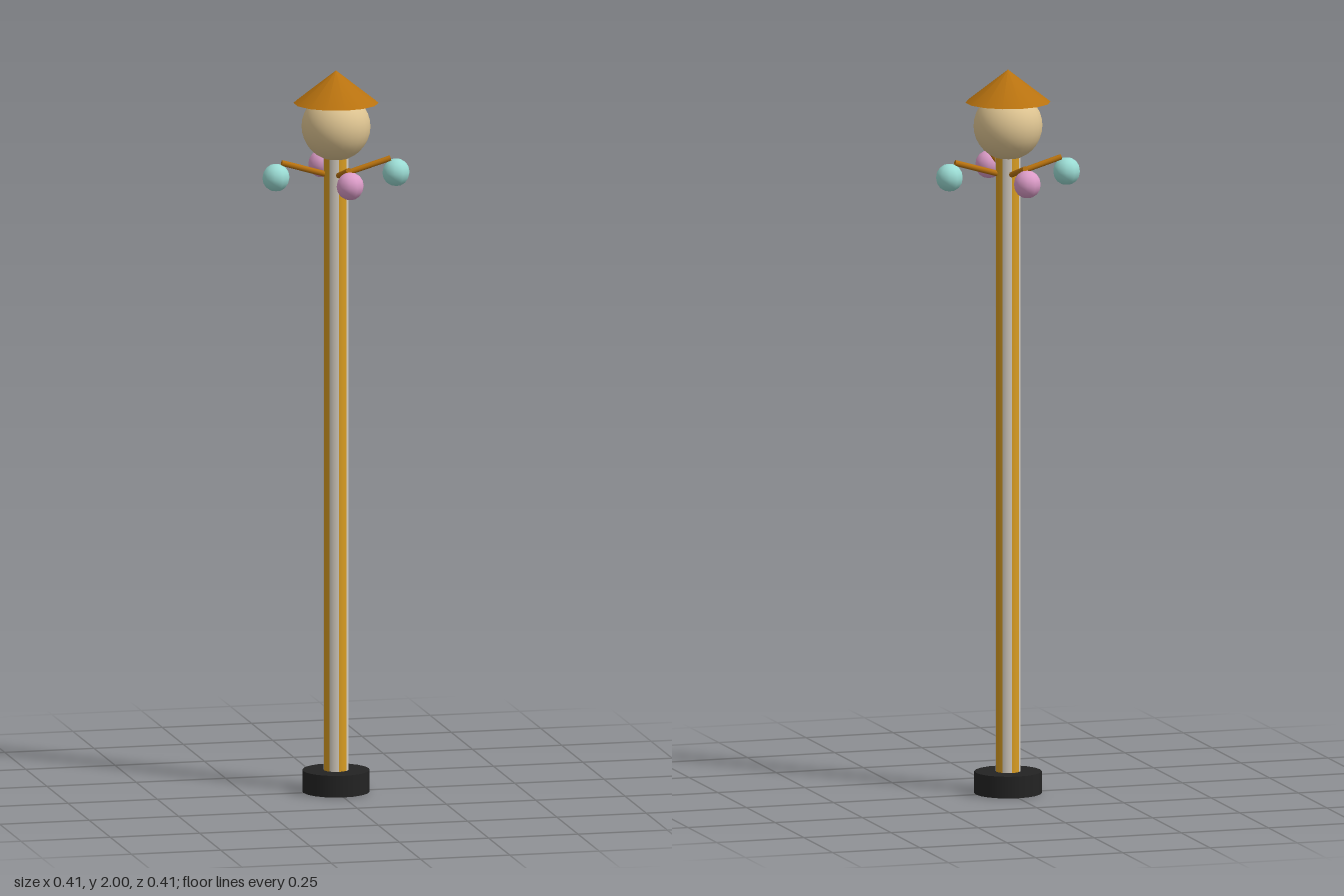
import * as THREE from 'three';

const mat = (name, color) => {
  const m = new THREE.MeshStandardMaterial({ color });
  m.name = name;
  return m;
};

export function createModel() {
  const wood = mat('brown wood', 0xb8720f);
  const black = mat('black', 0x232323);
  const gold = mat('gold', 0xd89c22);
  const white = mat('off white', 0xd6cec2);
  const tan = mat('tan globe', 0xdfc592);
  const aqua = mat('aqua', 0x9bdcd4);
  const pink = mat('pink', 0xdc9cc8);

  const model = new THREE.Group();
  model.name = 'lampPost';
  const add = (name, geometry, material, x, y, z) => {
    const mesh = new THREE.Mesh(geometry, material);
    mesh.name = name;
    mesh.position.set(x, y, z);
    model.add(mesh);
    return mesh;
  };

  // Foot
  add('base', new THREE.CylinderGeometry(0.092, 0.092, 0.06, 20), black, 0, 0.03, 0);

  // Pole with eight vertical stripes, two sides each
  const poleGeometry = new THREE.CylinderGeometry(0.034, 0.034, 1.71, 16, 1, true);
  poleGeometry.clearGroups();
  for (let i = 0; i < 8; i++) poleGeometry.addGroup(i * 12, 12, i % 2);
  add('stripedPole', poleGeometry, [gold, white], 0, 0.905, 0);

  // Globe and its conical hat
  add('globe', new THREE.SphereGeometry(0.094, 24, 16), tan, 0, 1.845, 0);
  add('roof', new THREE.ConeGeometry(0.116, 0.09, 14), wood, 0, 1.955, 0);

  // Four raised arms, each with a hanging ball
  const up = new THREE.Vector3(0, 1, 0);
  const ballGeometry = new THREE.SphereGeometry(0.038, 10, 8);
  for (let i = 0; i < 4; i++) {
    const out = new THREE.Vector3(Math.round(Math.cos(i * Math.PI / 2)), 0, Math.round(Math.sin(i * Math.PI / 2)));
    const start = new THREE.Vector3(0, 1.705, 0);
    const end = out.clone().multiplyScalar(0.152).setY(1.75);
    const span = end.clone().sub(start);
    const mid = start.clone().add(end).multiplyScalar(0.5);
    const arm = add('arm', new THREE.CylinderGeometry(0.008, 0.008, span.length(), 8), wood, mid.x, mid.y, mid.z);
    arm.quaternion.setFromUnitVectors(up, span.normalize());
    add('ball', ballGeometry, i % 2 ? pink : aqua, out.x * 0.168, 1.71, out.z * 0.168);
  }
  return model;
}
